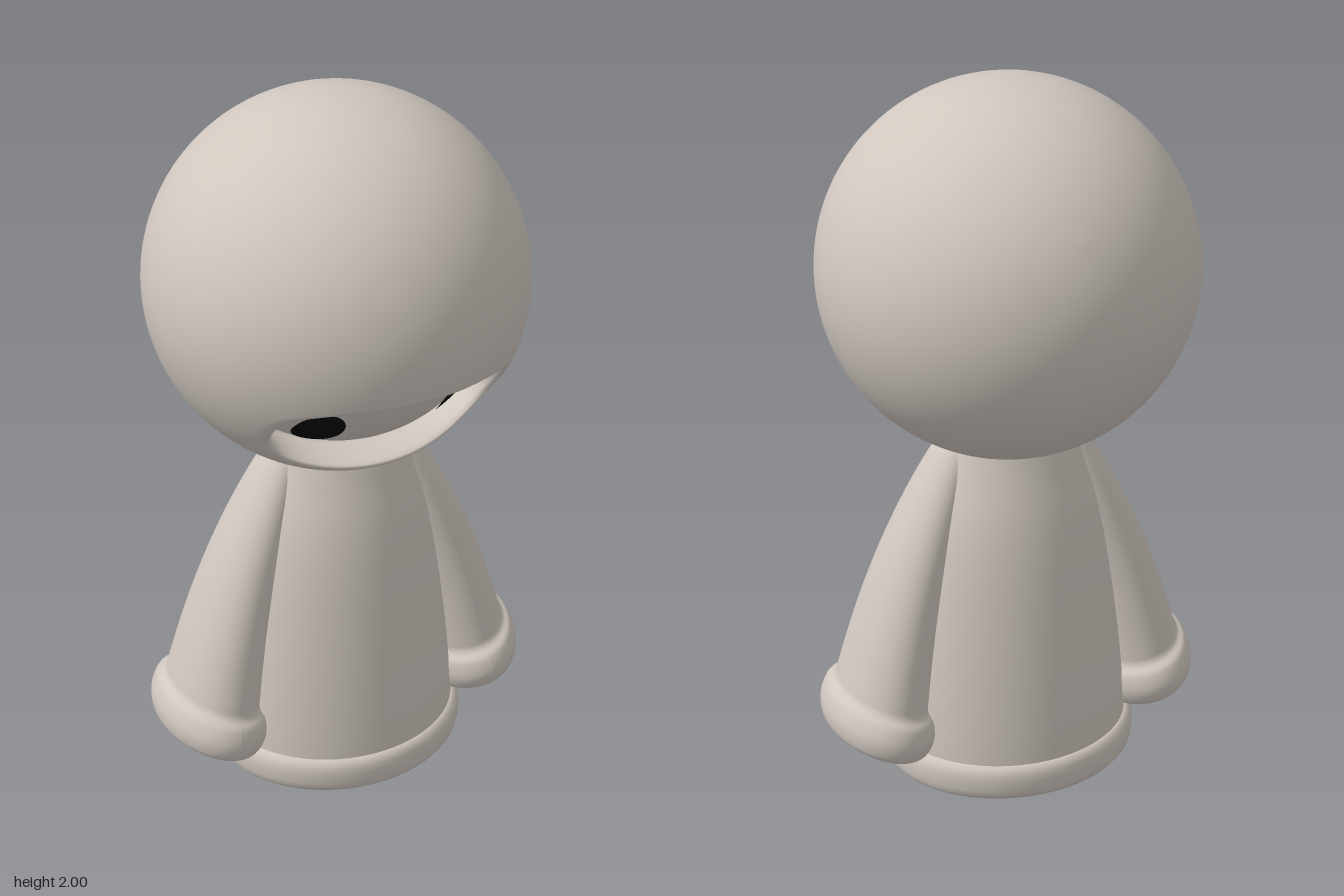
import * as THREE from 'three';

const HEAD_Y = 1.515, HEAD_R = 0.485, FACE_R = 0.41;
const MOUTH_Y = 1.29; // centre height of the face opening

const skin = new THREE.MeshStandardMaterial({ color: 0xd0c7bf });
skin.name = 'warmGrey';
const black = new THREE.MeshStandardMaterial({ color: 0x080808 });
black.name = 'eyeBlack';

function addMesh(group, name, geometry, material = skin) {
  const mesh = new THREE.Mesh(geometry, material);
  mesh.name = name;
  group.add(mesh);
  return mesh;
}

// Turned shape; the profile is listed from bottom to top as [radius, y]
function lathe(profile, smoothSteps = 0) {
  let pts = profile.map(([r, y]) => new THREE.Vector2(r, y));
  if (smoothSteps) {
    pts = new THREE.SplineCurve(pts).getPoints(smoothSteps);
    pts.forEach((p) => { p.x = Math.max(p.x, 0); });
  }
  return new THREE.LatheGeometry(pts, 72);
}

// Point on a sphere around the head centre, in front of the given x and y
function onSphere(x, y, r) {
  const dy = y - HEAD_Y;
  return new THREE.Vector3(x, dy, Math.sqrt(Math.max(r * r - x * x - dy * dy, 0)));
}

// Outline of the face opening: flat on top, round below
function opening(angle, scale) {
  const c = Math.cos(angle), s = Math.sin(angle);
  const n = s > 0 ? 3.2 : 2.2, h = s > 0 ? 0.108 : 0.16;
  const r = scale / Math.pow(Math.pow(Math.abs(c) / 0.315, n) + Math.pow(Math.abs(s) / h, n), 1 / n);
  return [r * c, MOUTH_Y + r * s];
}

// Round head with a sunken face, lofted from the face centre to the back
function headGeometry() {
  const segs = 128, backSteps = 48;
  const rim = [[0.93, FACE_R], [0.94, 0.418], [0.945, 0.435], [0.95, 0.452], [0.965, 0.466],
    [0.99, 0.476], [1.02, 0.482], [1.06, 0.4845], [1.1, HEAD_R]];
  const rings = [];
  for (let i = 0; i < 10; i++) rings.push([Math.max(i * 0.1, 0.002), FACE_R]);
  rings.push(...rim);
  const back = onSphere(0, MOUTH_Y, HEAD_R).normalize().negate();
  const rows = rings.length + backSteps;
  const pos = [], index = [];
  for (let i = 0; i < rows; i++) {
    for (let j = 0; j < segs; j++) {
      const a = (j / segs) * Math.PI * 2;
      const [s, r] = rings[Math.min(i, rings.length - 1)];
      const p = onSphere(...opening(a, s), r);
      if (i >= rings.length) {
        // follow the great circle to the back pole
        const u = Math.min((i - rings.length + 1) / backSteps, 0.9995);
        const from = p.clone().normalize(), w = from.angleTo(back);
        p.copy(from).multiplyScalar(Math.sin((1 - u) * w))
          .addScaledVector(back, Math.sin(u * w)).setLength(HEAD_R);
      }
      pos.push(p.x, p.y + HEAD_Y, p.z);
      if (i < rows - 1) {
        const k = (j + 1) % segs, A = i * segs, B = A + segs;
        index.push(A + j, B + j, B + k, A + j, B + k, A + k);
      }
    }
  }
  const g = new THREE.BufferGeometry();
  g.setAttribute('position', new THREE.Float32BufferAttribute(pos, 3));
  g.setIndex(index);
  g.computeVertexNormals();
  return g;
}

// Thin oval wrapped on the face
function eyeGeometry(side) {
  const g = new THREE.RingGeometry(0.001, 1, 40, 6);
  const p = g.attributes.position;
  for (let i = 0; i < p.count; i++) {
    const v = onSphere(side * 0.182 + p.getX(i) * 0.052, 1.27 + p.getY(i) * 0.066, FACE_R + 0.005);
    p.setXYZ(i, v.x, v.y + HEAD_Y, v.z);
  }
  g.computeVertexNormals();
  return g;
}

// Flared sleeve, bowed outward, with a rounded hollow cuff
function sleeveGeometry(side) {
  const g = lathe([[0, -0.73], [0.06, -0.745], [0.11, -0.79], [0.14, -0.845], [0.168, -0.867],
    [0.195, -0.852], [0.207, -0.81], [0.195, -0.765], [0.17, -0.742], [0.163, -0.70],
    [0.145, -0.54], [0.115, -0.3], [0.085, -0.12], [0.055, -0.02], [0, 0.01]], 90);
  const p = g.attributes.position;
  for (let i = 0; i < p.count; i++) {
    const t = THREE.MathUtils.clamp(-p.getY(i) / 0.867, 0, 1);
    p.setX(i, p.getX(i) * 0.71 + side * 0.03 * Math.sin(Math.PI * t));
  }
  g.rotateZ(side * 0.292).translate(side * 0.14, 1.07, 0);
  g.computeVertexNormals();
  return g;
}

export function createModel() {
  const model = new THREE.Group();
  model.name = 'hoodedFigure';

  addMesh(model, 'head', headGeometry());

  // Robe, slightly wider than deep
  const robe = lathe([[0.287, 0.18], [0.28, 0.3], [0.262, 0.5], [0.235, 0.72], [0.208, 0.87],
    [0.175, 0.99], [0.156, 1.06], [0.15, 1.1]], 40);
  addMesh(model, 'robe', robe).scale.x = 1.13;
  const hem = lathe([[0, 0.11], [0.27, 0.11], [0.282, 0.111], [0.295, 0.117], [0.302, 0.128],
    [0.305, 0.145], [0.306, 0.17], [0.304, 0.19], [0.298, 0.204], [0.288, 0.212], [0.275, 0.214]]);
  addMesh(model, 'hem', hem).scale.x = 1.13;

  for (const side of [1, -1]) {
    const label = side > 0 ? 'left' : 'right';
    addMesh(model, label + 'Eye', eyeGeometry(side), black);
    addMesh(model, label + 'Sleeve', sleeveGeometry(side));

    // Stubby foot with a rounded sole
    const foot = addMesh(model, label + 'Foot', lathe([[0, 0], [0.06, 0], [0.075, 0.003],
      [0.092, 0.012], [0.102, 0.027], [0.106, 0.045], [0.107, 0.07], [0.107, 0.13]]));
    foot.scale.x = 0.88;
    foot.position.x = side * 0.11;
  }
  return model;
}
